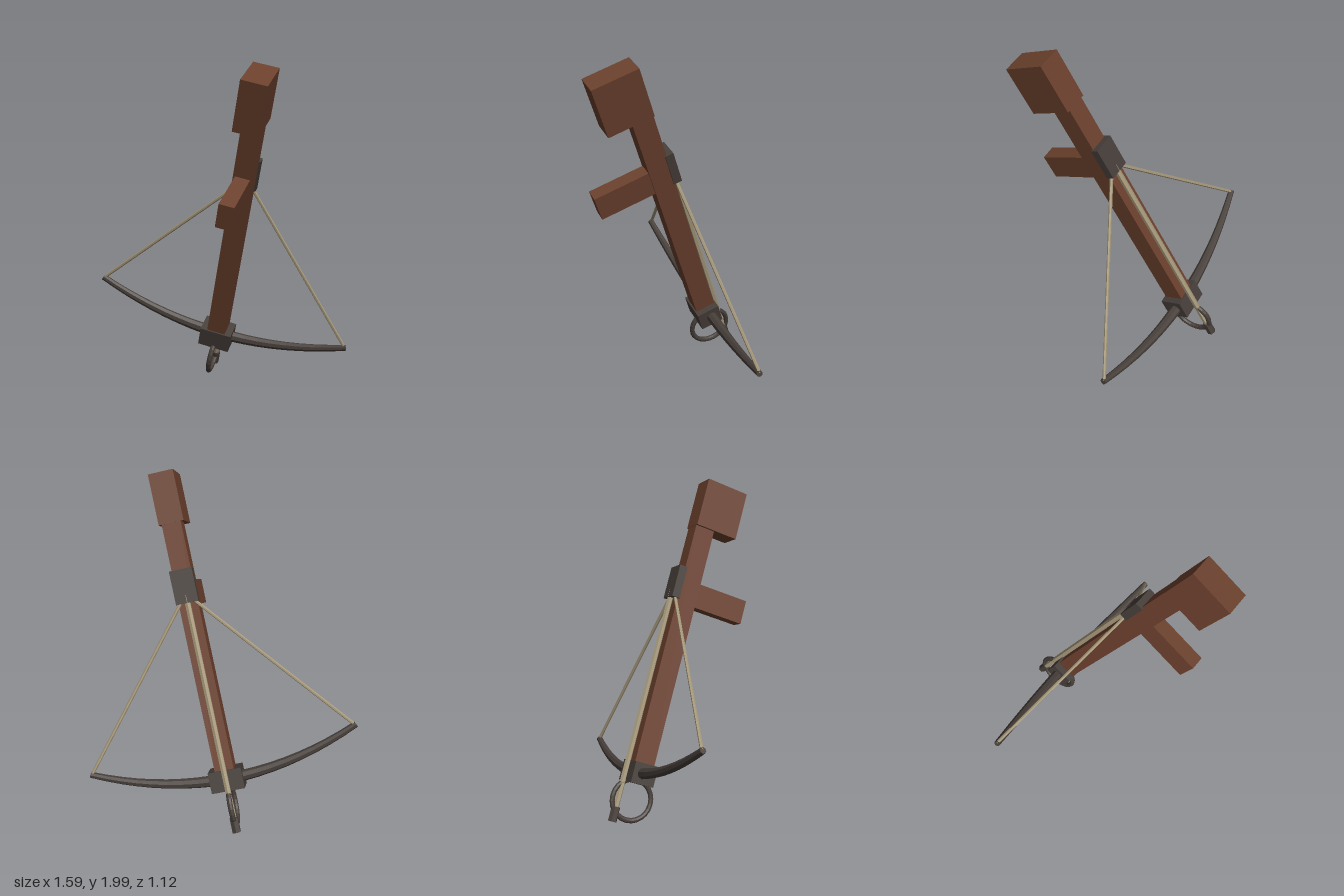
import * as THREE from 'three';

function mat(name, color) {
  const m = new THREE.MeshStandardMaterial({ color, flatShading: true });
  m.name = name;
  return m;
}

export function createModel() {
  const wood = mat('brown wood', 0x6b402d);
  const iron = mat('dark iron', 0x463e39);
  const cord = mat('pale cord', 0xa6987a);

  // Built lying flat: x across, y up, z from the bow towards the butt
  const bow = new THREE.Group();
  bow.name = 'crossbow';

  function add(name, geometry, material, x = 0, y = 0, z = 0) {
    const mesh = new THREE.Mesh(geometry, material);
    mesh.name = name;
    mesh.position.set(x, y, z);
    bow.add(mesh);
    return mesh;
  }
  function box(name, material, w, y0, y1, z0, z1) {
    return add(name, new THREE.BoxGeometry(w, y1 - y0, z1 - z0), material, 0, (y0 + y1) / 2, (z0 + z1) / 2);
  }
  function rod(name, material, a, b, radius, sides) {
    const dir = b.clone().sub(a);
    const mesh = add(name, new THREE.CylinderGeometry(radius, radius, dir.length(), sides), material);
    mesh.position.copy(a).add(b).multiplyScalar(0.5);
    mesh.quaternion.setFromUnitVectors(new THREE.Vector3(0, 1, 0), dir.normalize());
    return mesh;
  }

  // Wooden body
  box('stock', wood, 0.115, -0.063, 0.062, 0.03, 1.6);
  box('butt', wood, 0.15, -0.21, 0.064, 1.55, 1.852);
  box('grip', wood, 0.09, -0.397, -0.05, 1.055, 1.205);

  // Iron fittings
  box('bowMount', iron, 0.2, -0.0725, 0.0725, -0.0625, 0.0625);
  box('latch', iron, 0.135, 0.052, 0.102, 1.074, 1.274);
  const ring = add('stirrup', new THREE.TorusGeometry(0.122, 0.016, 8, 24), iron, 0, 0, -0.16);
  ring.rotation.y = Math.PI / 2;

  // Bow limbs: a bar bent backwards and tapered to both ends
  const half = 0.8125, sag = 0.177;
  const limbs = new THREE.CylinderGeometry(1, 1, 2, 8, 18);
  limbs.rotateZ(-Math.PI / 2);
  const p = limbs.attributes.position;
  for (let i = 0; i < p.count; i++) {
    const t = p.getX(i);
    const r = 0.036 - 0.017 * Math.abs(t);
    const angle = Math.atan(2 * sag * t / half);
    const depth = p.getZ(i) * r;
    p.setXYZ(i, t * half - depth * Math.sin(angle), p.getY(i) * r, sag * t * t + depth * Math.cos(angle));
  }
  limbs.computeVertexNormals();
  add('bowLimbs', limbs, iron, 0, 0.012, 0);

  // Drawn string, one half on each side
  const nock = new THREE.Vector3(0, 0.077, 1.13);
  for (const s of [-1, 1]) {
    rod(s < 0 ? 'rightString' : 'leftString', cord, new THREE.Vector3(s * 0.805, 0.015, sag), nock, 0.01, 6);
  }

  // Loaded bolt
  rod('boltShaft', cord, new THREE.Vector3(0, 0.085, 1.12), new THREE.Vector3(0, 0.085, -0.25), 0.018, 6);
  rod('boltHead', iron, new THREE.Vector3(0, 0.085, -0.22), new THREE.Vector3(0, 0.085, -0.308), 0.027, 6);

  // Stand it nose down, leaning, with its top turned to the back
  const along = new THREE.Vector3(0.203, 0.903, 0.379).normalize();
  const up = along.clone().cross(new THREE.Vector3(0.972, -0.231, 0.037)).normalize();
  const across = up.clone().cross(along);
  bow.quaternion.setFromRotationMatrix(new THREE.Matrix4().makeBasis(across, up, along));
  bow.position.set(-0.035, 0.284, -0.341);

  const model = new THREE.Group();
  model.name = 'model';
  model.add(bow);
  return model;
}
